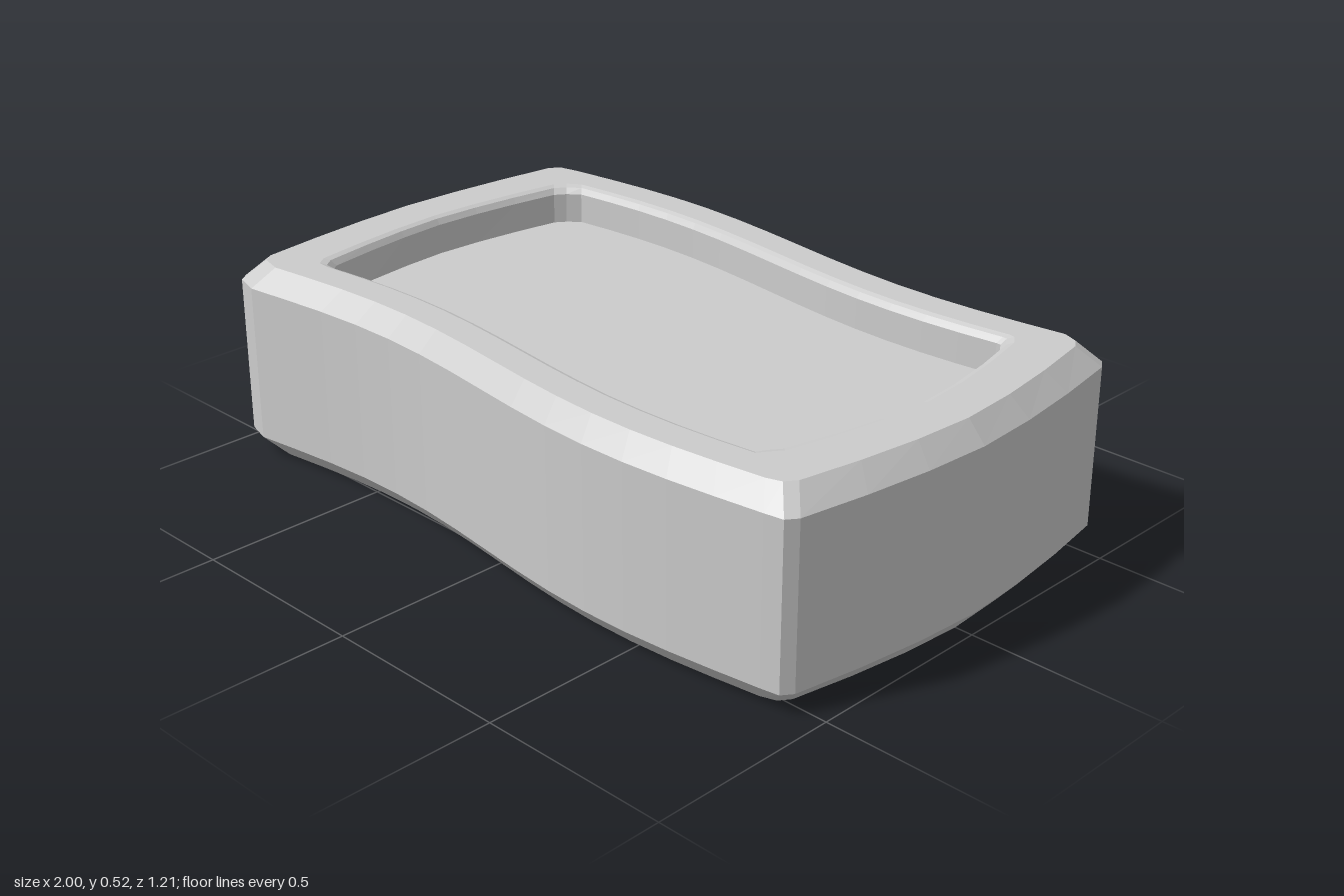
import * as THREE from 'three';

const FRONT_STEPS = 14, SIDE_STEPS = 6;

// One wavy-sided outline at height y, inset by dx and dz, counterclockwise from above
function outline(y, dx, dz) {
  const points = [];
  for (const s of [1, -1]) { // front and right end, then back and left end
    const droop = s > 0 ? 0.062 : 0.042; // how far the bulged end falls back at its corners
    const reach = 0.87 - dx * 0.8;
    const add = (x, z) => points.push([s * x, y, s * z]);
    for (let i = 0; i <= FRONT_STEPS; i++) {
      const x = reach * (2 * i / FRONT_STEPS - 1);
      add(x, 0.572 - dz + 0.035 * Math.sin(2 * Math.PI * x / 1.65));
    }
    const cornerX = 1 - dx - droop, cornerZ = 0.53 - dz;
    add(cornerX - 0.02, cornerZ + 0.028);
    for (let i = 0; i <= SIDE_STEPS; i++) {
      const t = 1 - 2 * i / SIDE_STEPS;
      add(1 - dx - droop * Math.abs(t) ** 1.6, cornerZ * t);
    }
    add(cornerX - 0.02, -cornerZ - 0.028);
  }
  return points;
}

// Skin a stack of outlines, optionally closing the first or last one
function loft(rings, capFirst, capLast) {
  const n = rings[0].length, position = rings.flat(2), index = [];
  for (let r = 0; r < rings.length - 1; r++) {
    for (let i = 0; i < n; i++) {
      const j = (i + 1) % n, a = r * n + i, b = r * n + j;
      index.push(a, b, b + n, a, b + n, a + n);
    }
  }
  const cap = (r, up) => {
    const centre = position.length / 3, base = r * n;
    position.push(0, rings[r][0][1], 0);
    for (let i = 0; i < n; i++) {
      const a = base + i, b = base + (i + 1) % n;
      index.push(centre, up ? a : b, up ? b : a);
    }
  };
  if (capFirst) cap(0, false);
  if (capLast) cap(rings.length - 1, true);
  const geometry = new THREE.BufferGeometry();
  geometry.setAttribute('position', new THREE.Float32BufferAttribute(position, 3));
  geometry.setIndex(index);
  geometry.computeVertexNormals();
  return geometry;
}

export function createModel() {
  const group = new THREE.Group();
  group.name = 'tray';
  const material = new THREE.MeshStandardMaterial({ color: 0xcccccc, flatShading: true });
  const part = (name, rings, capFirst, capLast) => {
    const mesh = new THREE.Mesh(loft(rings.map(r => outline(...r)), capFirst, capLast), material);
    mesh.name = name;
    group.add(mesh);
  };

  // Outer body with chamfered bottom and top edges
  part('body', [[0, 0.047, 0.047], [0.055, 0, 0], [0.472, 0, 0], [0.525, 0.047, 0.047]], true, false);
  // Flat rim and its softened inner edge
  part('rim', [[0.525, 0.047, 0.047], [0.525, 0.16, 0.13], [0.52, 0.173, 0.142], [0.505, 0.183, 0.152]], false, false);
  // Recess wall and floor
  part('recess', [[0.505, 0.183, 0.152], [0.425, 0.185, 0.154]], false, true);
  return group;
}
